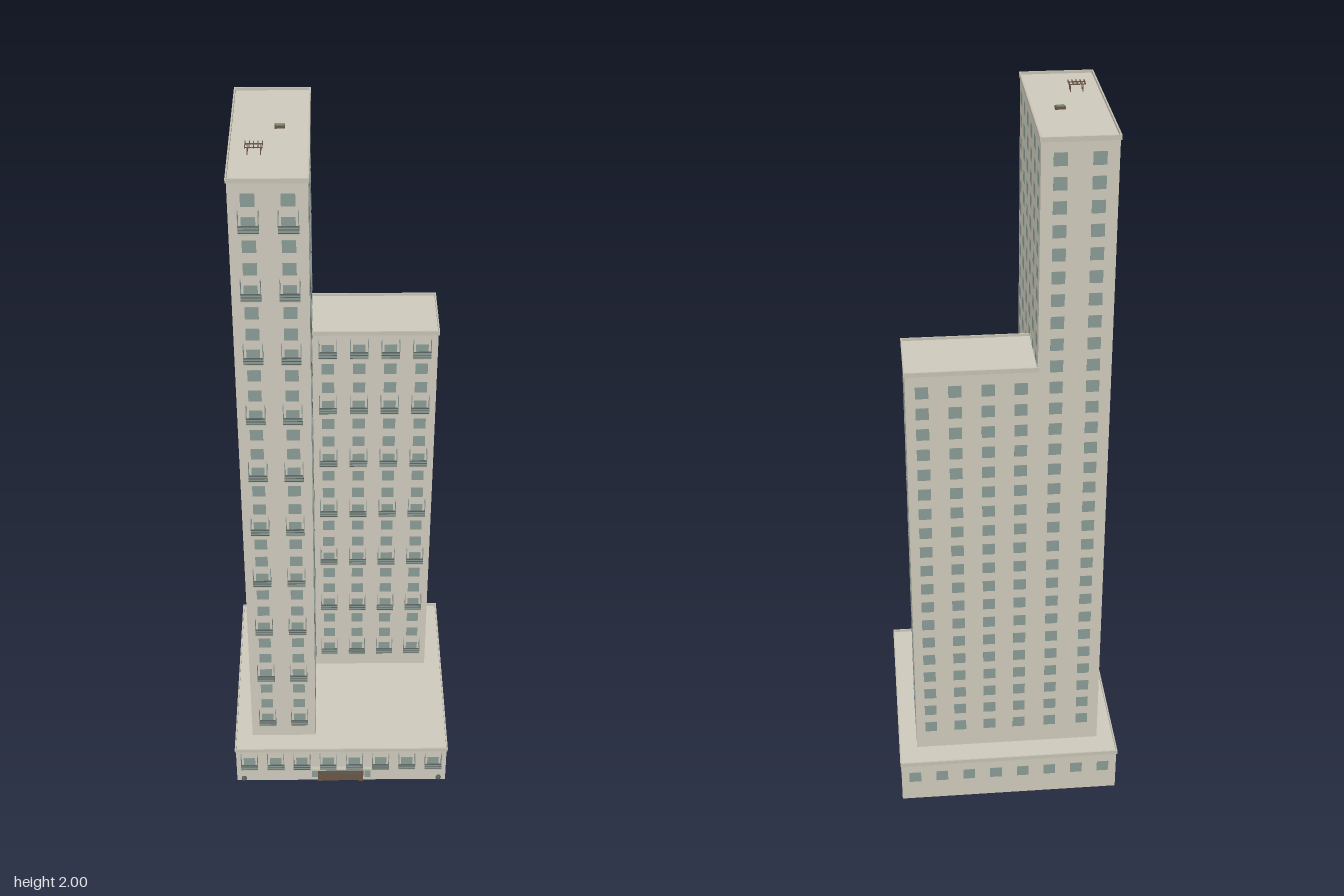
import * as THREE from 'three';
import { mergeGeometries } from 'three/addons/utils/BufferGeometryUtils.js';

const paint = (color) => new THREE.MeshStandardMaterial({ color });
const WALL = paint(0xd0cbbd), GLASS = paint(0x8a9c95), TRIM = paint(0xc6c2b4);
const DARK = paint(0x59605c), BROWN = paint(0x6b5646);

// Box from its min and max on each axis
function box(x0, x1, y0, y1, z0, z1) {
  return new THREE.BoxGeometry(x1 - x0, y1 - y0, z1 - z0)
    .translate((x0 + x1) / 2, (y0 + y1) / 2, (z0 + z1) / 2);
}

function add(group, name, material, geometries) {
  const mesh = new THREE.Mesh(mergeGeometries(geometries), material);
  mesh.name = name;
  group.add(mesh);
}

// Centres of n equal cells between a and b
const cells = (a, b, n) => Array.from({ length: n }, (_, i) => a + (b - a) * (i + 0.5) / n);

// Low parapet running round a flat roof
function parapet(b, top, over) {
  const { x0, x1, z0, z1 } = b, y0 = top - 0.012, t = 0.004;
  const X0 = x0 - over, X1 = x1 + over, Z0 = z0 - over, Z1 = z1 + over;
  return [
    box(X0, X1, y0, top, Z0, z0 + t - over), box(X0, X1, y0, top, z1 - t + over, Z1),
    box(X0, x0 + t - over, y0, top, Z0, Z1), box(x1 - t + over, X1, y0, top, Z0, Z1),
  ];
}

// One storey-block: walls, parapet, window grid on four faces, balconies on the front
function block(name, b, rows, nx, nz, balconyWidth) {
  const g = new THREE.Group();
  g.name = name;
  const { x0, x1, y0, y1, z0, z1 } = b;
  add(g, 'walls', WALL, [box(x0, x1, y0, y1 - 0.007, z0, z1)]);
  add(g, 'parapet', TRIM, parapet(b, y1, 0.003));

  const win = [], slabs = [], rails = [], panels = [];
  const w = 0.017, e = 0.001;
  rows.forEach((y, i) => {
    for (const x of cells(x0, x1, nx)) {
      win.push(box(x - w, x + w, y - w, y + w, z1 - e, z1 + e));
      win.push(box(x - w, x + w, y - w, y + w, z0 - e, z0 + e));
      if (i % 3) continue;
      const h = balconyWidth / 2, f = z1 + b.depth;
      slabs.push(box(x - h, x + h, y - 0.026, y - 0.021, z1, f));
      panels.push(box(x - h, x + h, y - 0.019, y - 0.003, f - 0.002, f));
      // side screens and front rails
      for (const s of [-1, 1]) {
        const p = x + s * (h - 0.001);
        panels.push(box(p - 0.001, p + 0.001, y - 0.021, y + 0.035, z1, f));
      }
      for (const r of [-0.02, -0.011, -0.003])
        rails.push(box(x - h, x + h, y + r - 0.001, y + r + 0.001, f - 0.003, f + 0.001));
    }
    for (const z of cells(z0, z1, nz)) {
      win.push(box(x0 - e, x0 + e, y - w, y + w, z - w, z + w));
      win.push(box(x1 - e, x1 + e, y - w, y + w, z - w, z + w));
    }
  });
  add(g, 'windows', GLASS, win);
  add(g, 'balconyFloors', TRIM, slabs);
  add(g, 'balconyPanels', GLASS, panels);
  add(g, 'balconyRails', DARK, rails);
  return g;
}

function entrance() {
  const g = new THREE.Group();
  g.name = 'entrance';
  const z = 0.307;
  add(g, 'doorFrame', BROWN, [
    box(-0.07, 0.066, 0.042, 0.05, z, z + 0.007),
    box(-0.07, -0.056, 0, 0.042, z, z + 0.007), box(0.052, 0.066, 0, 0.042, z, z + 0.007),
    box(-0.056, 0.052, 0, 0.03, z, z + 0.004),
  ]);
  add(g, 'doorGlass', DARK, [box(-0.056, 0.052, 0.03, 0.042, z, z + 0.003)]);
  add(g, 'canopy', TRIM, [box(-0.09, 0.09, 0.052, 0.058, z, z + 0.012)]);
  add(g, 'sidePanels', GLASS, [-1, 1].map((s) =>
    box(s * 0.079 - 0.009, s * 0.079 + 0.009, 0.012, 0.05, z, z + 0.002)));
  // small round lamps by the corners
  add(g, 'cornerLamps', DARK, [-1, 1].map((s) =>
    new THREE.SphereGeometry(0.008, 10, 8).translate(s * 0.292, 0.012, z + 0.004)));
  return g;
}

function roofFittings(y) {
  const g = new THREE.Group();
  g.name = 'roofFittings';
  // pergola: five slats on two beams with four legs
  const parts = [];
  for (let i = 0; i < 5; i++) {
    const x = -0.226 + i * 0.0103;
    parts.push(box(x - 0.001, x + 0.001, y + 0.023, y + 0.027, 0.088, 0.122));
  }
  for (const z of [0.095, 0.115]) {
    parts.push(box(-0.226, -0.184, y + 0.021, y + 0.0235, z - 0.001, z + 0.001));
    for (const x of [-0.221, -0.189])
      parts.push(box(x - 0.001, x + 0.001, y, y + 0.022, z - 0.001, z + 0.001));
  }
  add(g, 'pergola', BROWN, parts);
  add(g, 'planter', BROWN, [box(-0.16, -0.134, y, y + 0.01, -0.038, -0.024)]);
  add(g, 'planterTop', paint(0x7f9478), [box(-0.157, -0.137, y + 0.01, y + 0.013, -0.035, -0.027)]);
  return g;
}

export function createModel() {
  const model = new THREE.Group();
  model.name = 'apartmentTower';
  const floors = (n) => Array.from({ length: n }, (_, i) => 0.205 + i * 0.0615);

  model.add(block('podium',
    { x0: -0.313, x1: 0.313, y0: 0, y1: 0.137, z0: -0.319, z1: 0.308, depth: 0.013 },
    [0.081], 8, 8, 0.05));
  model.add(block('tower',
    { x0: -0.265, x1: -0.076, y0: 0.12, y1: 1.983, z0: -0.246, z1: 0.246, depth: 0.011 },
    floors(29), 2, 6, 0.05));
  model.add(block('wing',
    { x0: -0.076, x1: 0.264, y0: 0.12, y1: 1.372, z0: -0.246, z1: -0.054, depth: 0.01 },
    floors(19), 4, 2, 0.05));
  model.add(entrance());
  model.add(roofFittings(1.973));
  return model;
}
